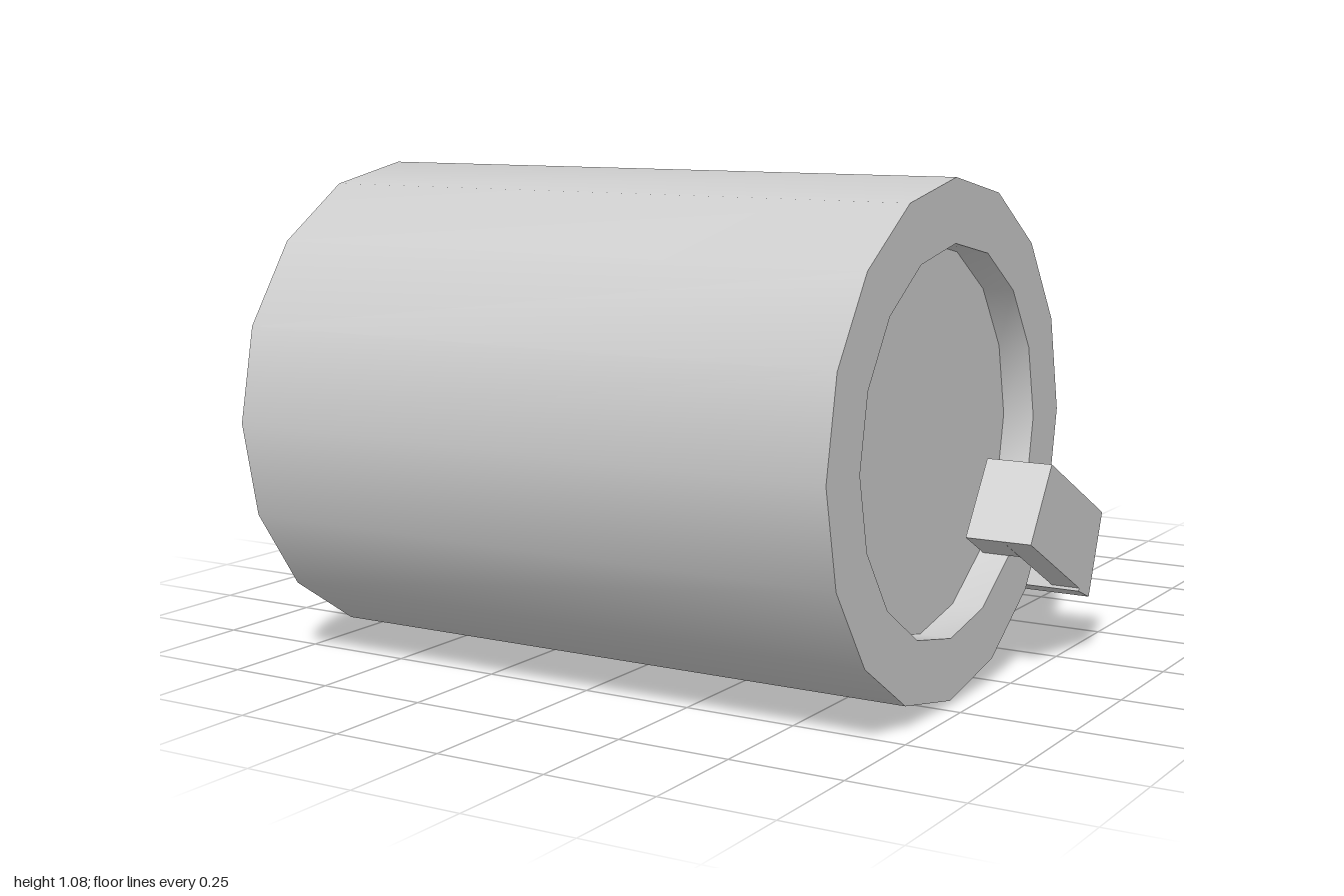
import * as THREE from 'three';
import { toCreasedNormals } from 'three/addons/utils/BufferGeometryUtils.js';

export function createModel() {
  const model = new THREE.Group();
  const material = new THREE.MeshStandardMaterial({ color: 0xcccccc, side: THREE.DoubleSide });

  function add(name, geometry, x = 0, y = 0, z = 0) {
    const mesh = new THREE.Mesh(geometry, material);
    mesh.name = name;
    mesh.position.set(x, y, z);
    model.add(mesh);
    return mesh;
  }

  // Side outline given as [z, y] points, extruded from x0 to x1
  function prism(points, x0, x1) {
    const shape = new THREE.Shape(points.map(([z, y]) => new THREE.Vector2(z, y)));
    const geometry = new THREE.ExtrudeGeometry(shape, { depth: x1 - x0, bevelEnabled: false });
    return geometry.rotateY(-Math.PI / 2).translate(x1, 0, 0);
  }

  function box(x0, x1, y0, y1, z0, z1) {
    return new THREE.BoxGeometry(x1 - x0, y1 - y0, z1 - z0)
      .translate((x0 + x1) / 2, (y0 + y1) / 2, (z0 + z1) / 2);
  }

  // Roller drum: flat on its right end, recessed on its left end
  const drumProfile = [[0, -0.71], [0.537, -0.71], [0.537, 0.71], [0.405, 0.71], [0.405, 0.64], [0, 0.64]]
    .map(([r, y]) => new THREE.Vector2(r, y));
  const drum = new THREE.LatheGeometry(drumProfile, 16).rotateZ(-Math.PI / 2);
  add('drum', toCreasedNormals(drum, Math.PI / 5), 0, 0.547, 0.465);

  // Tilted yoke: crossbar, long right arm, short left arm with an end block in the recess
  add('crossbar', prism([[-0.13, 0.31], [-0.07, 0.335], [0, 0.155], [-0.06, 0.13]], -0.8, 0.8));
  add('longArm', prism([[-0.13, 0.31], [0.54, 0.575], [0.61, 0.395], [-0.06, 0.13]], -0.8, -0.745));
  add('shortArm', prism([[-0.13, 0.31], [0.165, 0.465], [0.27, 0.31], [-0.06, 0.13]], 0.735, 0.8));
  add('armEndBlock', prism([[0.1, 0.43], [0.165, 0.465], [0.27, 0.31], [0.18, 0.26]], 0.65, 0.736));

  // Hitch between yoke and body
  add('hitch', prism([[-0.19, 0.295], [-0.13, 0.306], [-0.06, 0.13], [-0.19, 0.105]], -0.165, 0.165));

  // Body, dashboard and chassis
  add('body', box(-0.26, 0.26, 0.07, 0.395, -0.595, -0.185));
  add('dashboard', prism([[-0.485, 0.39], [-0.545, 0.545], [-0.625, 0.52], [-0.565, 0.39]], -0.18, 0.18));
  add('bulkhead', box(-0.16, 0.16, 0.07, 0.35, -0.635, -0.59));
  add('chassis', box(-0.11, 0.11, 0.07, 0.28, -0.92, -0.63));

  // Hood: narrow at the top and flared at the bottom next to the body
  const hood = prism([
    [-0.645, 0.44], [-0.625, 0.305], [-0.9, 0.255], [-0.9, 0.095],
    [-0.936, 0.095], [-0.973, 0.137], [-1, 0.33],
  ], -1, 1);
  const position = hood.attributes.position;
  for (let i = 0; i < position.count; i++) {
    const t = (position.getZ(i) + 1) / 0.37;
    const low = THREE.MathUtils.clamp((0.33 + 0.115 * t - position.getY(i)) / 0.13, 0, 1);
    position.setX(i, position.getX(i) * (0.14 + t * THREE.MathUtils.lerp(-0.02, 0.04, low)));
  }
  hood.computeVertexNormals();
  add('hood', hood);

  // Trim along the lower edge of the hood
  const trim = prism([[-0.63, 0.34], [-0.63, 0.305], [-0.9, 0.255], [-0.9, 0.285]], -1, 1);
  const trimPosition = trim.attributes.position;
  for (let i = 0; i < trimPosition.count; i++) {
    const t = (trimPosition.getZ(i) + 1) / 0.37;
    trimPosition.setX(i, trimPosition.getX(i) * (0.14 + 0.043 * t));
  }
  trim.computeVertexNormals();
  add('hoodTrim', trim);

  // Driver's head
  add('head', new THREE.SphereGeometry(0.114, 32, 20), 0, 0.468, -0.382);

  for (const side of [-1, 1]) {
    // Wheels
    const wheel = new THREE.CylinderGeometry(0.138, 0.138, 0.08, 16).rotateZ(Math.PI / 2);
    add('wheel', wheel, side * 0.175, 0.138, -0.745);

    // Horns: a curved tube tapering to a point
    const path = new THREE.CatmullRomCurve3([
      [0.08, 0.527, -0.358], [0.118, 0.535, -0.357], [0.14, 0.565, -0.352], [0.15, 0.61, -0.345],
    ].map(([x, y, z]) => new THREE.Vector3(side * x, y, z)));
    const segments = 10, around = 10;
    const horn = new THREE.TubeGeometry(path, segments, 0.021, around);
    const p = horn.attributes.position, v = new THREE.Vector3();
    for (let i = 0; i < p.count; i++) {
      const t = Math.floor(i / (around + 1)) / segments;
      const centre = path.getPointAt(t);
      v.fromBufferAttribute(p, i).sub(centre).multiplyScalar(1 - 0.97 * t).add(centre);
      p.setXYZ(i, v.x, v.y, v.z);
    }
    add('horn', horn);
  }

  return model;
}
